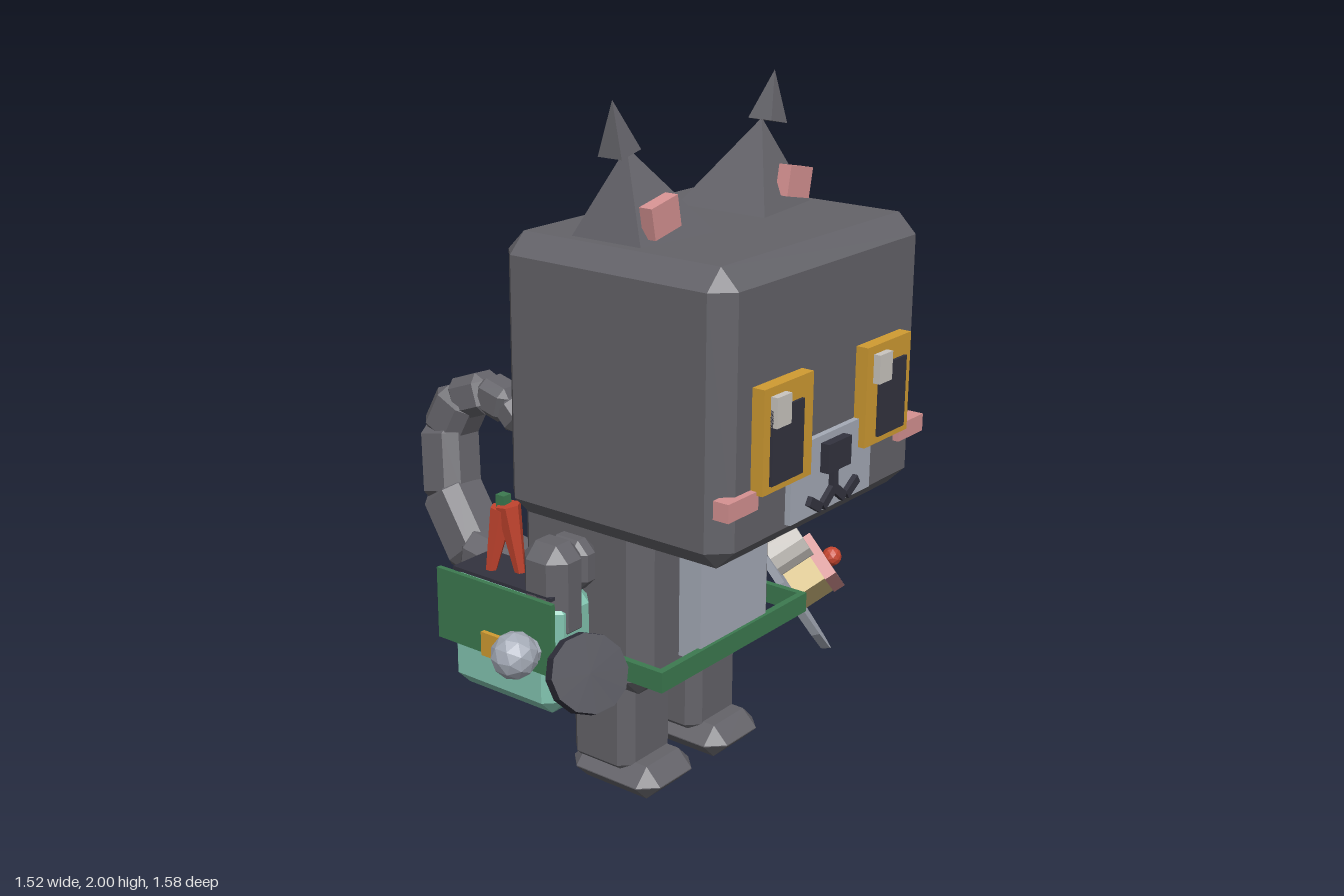
import * as THREE from 'three';
import { ConvexGeometry } from 'three/addons/geometries/ConvexGeometry.js';

const V = (x, y, z) => new THREE.Vector3(x, y, z);
const mat = (name, color) => {
  const m = new THREE.MeshStandardMaterial({ color });
  m.name = name;
  m.flatShading = true;
  return m;
};
const CX = -0.084; // mirror plane of the character

// Box with 45 degree chamfers on every edge
function chamferBox(w, h, d, c) {
  const p = [];
  for (const sx of [-1, 1]) for (const sy of [-1, 1]) for (const sz of [-1, 1]) {
    const x = w / 2, y = h / 2, z = d / 2;
    p.push(V(sx * x, sy * (y - c), sz * (z - c)),
      V(sx * (x - c), sy * y, sz * (z - c)),
      V(sx * (x - c), sy * (y - c), sz * z));
  }
  return new ConvexGeometry(p);
}

export function createModel() {
  const root = new THREE.Group();
  const fur = mat('fur grey', 0x646369), pale = mat('pale blue grey', 0xa5abb7);
  const dark = mat('dark', 0x33333f), gold = mat('gold', 0xd09b32);
  const pink = mat('pink', 0xd69292), teal = mat('teal', 0x82c4b0);
  const green = mat('green', 0x3c7a50), white = mat('off white', 0xcac6c0);
  const cream = mat('cream', 0xd6c083), red = mat('red', 0xc5452f);

  const add = (name, geo, m, parent = root) => {
    const mesh = new THREE.Mesh(geo, m);
    mesh.name = name;
    parent.add(mesh);
    return mesh;
  };
  // Box given by its limits; c > 0 chamfers it
  const box = (name, m, x0, x1, y0, y1, z0, z1, c = 0, parent = root) => {
    const s = [x1 - x0, y1 - y0, z1 - z0];
    const mesh = add(name, c ? chamferBox(...s, c) : new THREE.BoxGeometry(...s), m, parent);
    mesh.position.set((x0 + x1) / 2, (y0 + y1) / 2, (z0 + z1) / 2);
    return mesh;
  };
  // Places a mesh built along y between two points
  const aim = (mesh, a, b) => {
    mesh.position.copy(a).add(b).multiplyScalar(0.5);
    mesh.quaternion.setFromUnitVectors(V(0, 1, 0), b.clone().sub(a).normalize());
    return mesh;
  };
  const rod = (name, m, a, b, r0, r1, sides) =>
    aim(add(name, new THREE.CylinderGeometry(r1, r0, a.distanceTo(b), sides), m), a, b);

  // Head and body
  box('head', fur, -0.546, 0.378, 0.865, 1.645, -0.01, 0.733, 0.055);
  box('body', fur, -0.405, 0.238, 0.345, 1.02, -0.09, 0.37, 0.055);
  box('belly', pale, -0.24, 0.072, 0.44, 0.9, 0.33, 0.445);

  // Hollow belt
  box('beltFront', green, -0.425, 0.268, 0.42, 0.48, 0.435, 0.455);
  box('beltBack', green, -0.425, 0.268, 0.42, 0.48, -0.12, -0.1);
  box('beltRight', green, -0.425, -0.405, 0.42, 0.48, -0.1, 0.435);
  box('beltLeft', green, 0.248, 0.268, 0.42, 0.48, -0.1, 0.435);

  // Face plates
  box('muzzle', pale, -0.272, 0.108, 0.93, 1.14, 0.72, 0.75);
  box('nose', dark, -0.138, -0.03, 1.04, 1.12, 0.74, 0.776);
  box('mouthStem', dark, -0.095, -0.073, 0.975, 1.04, 0.74, 0.766);
  box('pupil', dark, -0.4, -0.262, 1.08, 1.28, 0.76, 0.778);
  box('pupil', dark, 0.098, 0.23, 1.08, 1.28, 0.76, 0.778);
  box('eyeGlint', white, -0.4, -0.337, 1.235, 1.315, 0.76, 0.79);
  box('eyeGlint', white, 0.074, 0.137, 1.235, 1.315, 0.76, 0.79);

  // Everything that comes in mirrored pairs
  for (const s of [-1, 1]) {
    const X = x => CX + s * x;
    const pair = (name, m, a, b, ...rest) =>
      box(name, m, Math.min(X(a), X(b)), Math.max(X(a), X(b)), ...rest);
    const bar = (a, ya, b, yb) => {
      const m = add('mouthBar', new THREE.BoxGeometry(0.026, Math.hypot(b - a, yb - ya) + 0.015, 0.026), dark);
      aim(m, V(X(a), ya, 0.752), V(X(b), yb, 0.752));
    };
    bar(0, 0.985, 0.045, 0.95);
    bar(0.068, 0.95, 0.108, 0.975);
    pair('eye', gold, 0.128, 0.344, 1.06, 1.338, 0.72, 0.77);
    pair('cheek', pink, 0.335, 0.462, 1.02, 1.07, 0.705, 0.752);

    // Ears lean outward and carry a small bent tip
    add('ear', new ConvexGeometry([
      V(X(0.378), 1.64, 0.18), V(X(0.378), 1.64, 0.41), V(X(0.105), 1.64, 0.147),
      V(X(0.105), 1.64, 0.446), V(X(0.295), 1.875, 0.297)]), fur);
    add('earTip', new ConvexGeometry([
      V(X(0.362), 1.855, 0.258), V(X(0.362), 1.855, 0.336), V(X(0.285), 1.872, 0.258),
      V(X(0.285), 1.872, 0.336), V(X(0.352), 2, 0.297)]), fur);
    const inner = add('innerEar', new THREE.BoxGeometry(0.108, 0.085, 0.04), pink);
    inner.position.set(X(0.297), 1.712, 0.408);
    inner.rotation.set(0, 0, -s * 0.2);

    // Arms and legs
    pair('shoulder', fur, 0.32, 0.42, 0.665, 0.812, 0.09, 0.235, 0.035);
    pair('arm', fur, 0.376, 0.514, 0.54, 0.823, 0.085, 0.24, 0.042);
    pair('leg', fur, 0.046, 0.27, 0.06, 0.42, 0.055, 0.277, 0.037);
    pair('foot', fur, 0.038, 0.282, 0.004, 0.105, 0.05, 0.367, 0.049);
  }

  // Curled tail: x, y, z and half width at each joint
  const tail = [
    [-0.085, 0.49, -0.04, 0.1], [-0.085, 0.43, -0.3, 0.095], [-0.09, 0.47, -0.53, 0.088],
    [-0.06, 0.63, -0.67, 0.082], [-0.025, 0.82, -0.71, 0.075], [-0.01, 0.93, -0.66, 0.066],
    [0, 0.967, -0.56, 0.058], [0, 0.945, -0.475, 0.048], [0, 0.9, -0.43, 0.038]];
  for (let i = 0; i + 1 < tail.length; i++) {
    const a = V(...tail[i]), b = V(...tail[i + 1]), r = tail[i][3];
    aim(add('tailSegment', chamferBox(2 * r, a.distanceTo(b) + r * 0.7, 2 * r, r * 0.45), fur), a, b);
  }

  // Plate in the left paw, tilted, with a small cake
  const tray = new THREE.Group();
  tray.name = 'plateWithCake';
  const u = V(0.763, -0.577, -0.284).normalize(), n = V(0.62, 0.54, 0.57);
  n.addScaledVector(u, -n.dot(u)).normalize();
  tray.quaternion.setFromRotationMatrix(new THREE.Matrix4().makeBasis(u, n, u.clone().cross(n)));
  tray.position.set(0.51, 0.385, 0.19);
  root.add(tray);
  add('plate', new THREE.CylinderGeometry(0.282, 0.27, 0.024, 16), pale, tray);
  add('leftPaw', new THREE.CylinderGeometry(0.08, 0.08, 0.13, 12), white, tray).position.set(-0.124, 0.065, -0.037);
  box('cakeSponge', cream, 0.02, 0.188, 0, 0.115, -0.06, 0.086, 0, tray);
  box('cakeIcing', pink, 0.015, 0.193, 0.115, 0.155, -0.065, 0.091, 0, tray);
  add('cherry', new THREE.IcosahedronGeometry(0.032, 1), red, tray).position.set(0.104, 0.172, 0.013);

  // Right paw holding a dark capped tool with a round knob
  const tip = V(-0.592, 0.51, 0.345), axis = V(-0.45, 0.42, 0.78).normalize();
  const along = t => tip.clone().addScaledVector(axis, -t);
  rod('toolCap', dark, along(0.045), tip, 0.112, 0.108, 12);
  rod('rightPaw', white, along(0.12), along(0.045), 0.085, 0.09, 12);
  rod('toolGrip', dark, along(0.21), along(0.12), 0.075, 0.08, 10);
  rod('knobNeck', pale, V(-0.58, 0.54, 0.18), V(-0.68, 0.545, 0.165), 0.03, 0.045, 8);
  add('knob', new THREE.IcosahedronGeometry(0.066, 1), pale).position.set(-0.69, 0.545, 0.165);

  // Side bag with flap, buckle and a carrot sticking out
  box('bag', teal, -0.615, -0.422, 0.335, 0.685, -0.165, 0.235, 0.045);
  box('bagOpening', dark, -0.598, -0.445, 0.68, 0.69, -0.145, 0.215);
  box('bagFlap', green, -0.632, -0.617, 0.48, 0.69, -0.175, 0.245);
  box('buckle', gold, -0.646, -0.63, 0.48, 0.55, 0, 0.075);
  rod('carrot', red, V(-0.55, 0.67, -0.05), V(-0.525, 0.87, -0.02), 0.014, 0.036, 6);
  rod('carrot', red, V(-0.51, 0.67, 0.03), V(-0.525, 0.885, 0), 0.014, 0.036, 6);
  box('carrotTop', green, -0.537, -0.507, 0.85, 0.91, -0.035, -0.005);

  return root;
}
